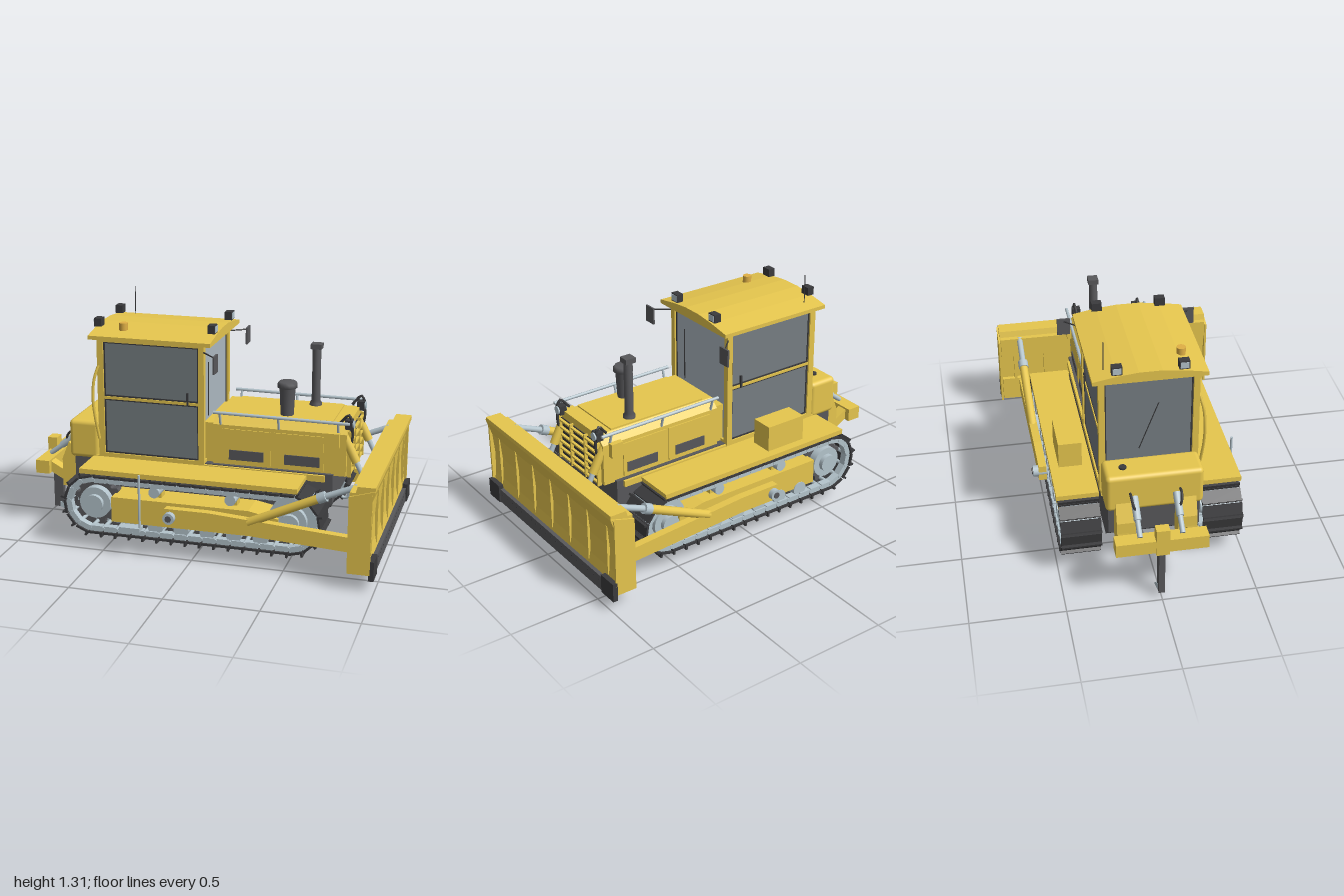
import * as THREE from 'three';
import { RoundedBoxGeometry } from 'three/addons/geometries/RoundedBoxGeometry.js';

const paint = (name, color) => {
  const m = new THREE.MeshStandardMaterial({ color });
  m.name = name;
  return m;
};

export function createModel() {
  const root = new THREE.Group();
  root.name = 'bulldozer';
  const yellow = paint('yellow paint', 0xe6c64e), dark = paint('dark metal', 0x58585b);
  const steel = paint('pale steel', 0xb4c4cc), glass = paint('tinted glass', 0x767e82);
  const paleGlass = paint('pale glass', 0xaebac2), amber = paint('amber', 0xe0b045);
  const black = paint('black metal', 0x3b3b3d);

  const add = (name, geo, mat, parent = root) => {
    const m = new THREE.Mesh(geo, mat);
    m.name = name;
    parent.add(m);
    return m;
  };
  // Box given by its limits on each axis
  const box = (name, mat, [x0, x1], [y0, y1], [z0, z1], parent = root) => {
    const m = add(name, new THREE.BoxGeometry(x1 - x0, y1 - y0, z1 - z0), mat, parent);
    m.position.set((x0 + x1) / 2, (y0 + y1) / 2, (z0 + z1) / 2);
    return m;
  };
  // Round bar between two points
  const bar = (name, mat, a, b, r, sides = 12, parent = root) => {
    const p = new THREE.Vector3(...a), q = new THREE.Vector3(...b), d = q.clone().sub(p);
    const m = add(name, new THREE.CylinderGeometry(r, r, d.length(), sides), mat, parent);
    m.position.copy(p).add(q).multiplyScalar(0.5);
    m.quaternion.setFromUnitVectors(new THREE.Vector3(0, 1, 0), d.normalize());
    return m;
  };
  // Side profile (x, y) extruded across z
  const slab = (name, mat, pts, z0, z1, parent = root) => {
    const shape = new THREE.Shape(pts.map(p => new THREE.Vector2(...p)));
    const g = new THREE.ExtrudeGeometry(shape, { depth: z1 - z0, bevelEnabled: false });
    return add(name, g.translate(0, 0, z0), mat, parent);
  };
  // Symmetric cross-section (z, y) extruded along x
  const loft = (name, mat, pts, x0, x1) => {
    const m = slab(name, mat, pts, x0, x1);
    m.geometry.rotateY(Math.PI / 2);
    return m;
  };
  const disc = (name, mat, x, y, z0, z1, r, sides = 24, parent = root) =>
    bar(name, mat, [x, y, z0], [x, y, z1], r, sides, parent);
  const tube = (name, mat, pts, r) => add(name, new THREE.TubeGeometry(
    new THREE.CatmullRomCurve3(pts.map(p => new THREE.Vector3(...p))), 16, r, 6), mat);

  // Hull and belly
  slab('hull', dark, [[-0.75, 0.43], [-0.75, 0.28], [-0.66, 0.2], [0.55, 0.2], [0.7, 0.3], [0.7, 0.46], [-0.6, 0.46]], -0.24, 0.24);
  box('crossBeam', dark, [0.12, 0.2], [0.17, 0.24], [-0.36, 0.36]);
  box('deck', yellow, [-0.62, 0.66], [0.42, 0.455], [-0.255, 0.255]);
  const hook = add('towHook', new THREE.TorusGeometry(0.024, 0.009, 8, 16, Math.PI * 1.5), steel);
  hook.position.set(0.725, 0.275, 0);
  hook.rotation.z = -Math.PI * 0.75;

  // Crawler tracks
  const R = 0.16, xa = -0.56, xb = 0.52, cy = 0.25, L = xb - xa, arc = Math.PI * R, total = 2 * (L + arc);
  const onTrack = s => {
    if (s < L) return [xa + s, cy, Math.PI / 2, R];
    if (s < L + arc) return [xb, cy, Math.PI / 2 - (s - L) / R, R];
    if (s < 2 * L + arc) return [xb - (s - L - arc), cy, -Math.PI / 2, R];
    return [xa, cy, -Math.PI / 2 - (s - 2 * L - arc) / R, R];
  };
  const gear = new THREE.Shape();
  for (let i = 0; i < 52; i++) {
    const a = i / 52 * Math.PI * 2, r = i % 4 < 2 ? 0.135 : 0.11;
    gear[i ? 'lineTo' : 'moveTo'](Math.cos(a) * r, Math.sin(a) * r);
  }
  for (const s of [1, -1]) {
    const t = new THREE.Group();
    t.name = s > 0 ? 'leftTrack' : 'rightTrack';
    root.add(t);
    t.position.z = s * 0.377;
    const n = 40;
    for (let i = 0; i < n; i++) {
      const [x, y, a, r] = onTrack((i + 0.5) * total / n);
      const link = new THREE.Group();
      link.name = 'trackLink';
      link.position.set(x + Math.cos(a) * r, y + Math.sin(a) * r, 0);
      link.rotation.z = a;
      t.add(link);
      box('shoe', black, [-0.006, 0.006], [-0.037, 0.037], [-0.107, 0.107], link);
      box('grouser', black, [0.005, 0.024], [0.024, 0.035], [-0.107, 0.107], link);
      for (const k of [-1, 1]) {
        box('chainLink', steel, [-0.036, -0.005], [-0.033, 0.033], [k * 0.075 - 0.02, k * 0.075 + 0.02], link);
      }
      disc('linkPin', steel, -0.022, 0.038, -0.098, 0.098, 0.011, 8, link);
    }
    const sprocket = add('sprocket', new THREE.ExtrudeGeometry(gear, { depth: 0.05, bevelEnabled: false }), dark, t);
    sprocket.position.set(xa, cy, -0.025);
    disc('idler', steel, xb, cy, -0.04, 0.04, 0.125, 28, t);
    for (const x of [xa, xb]) {
      disc('wheelRim', steel, x, cy, -0.07, 0.07, 0.088, 24, t);
      disc('wheelHub', steel, x, cy, -0.095, 0.095, 0.05, 20, t);
    }
    for (let i = 0; i < 6; i++) disc('roadRoller', steel, -0.36 + i * 0.145, 0.15, -0.085, 0.085, 0.042, 16, t);
    for (const x of [-0.22, 0.2]) {
      disc('carrierRoller', steel, x, 0.345, -0.085, 0.085, 0.03, 16, t);
      box('rollerBracket', yellow, [x - 0.025, x + 0.025], [0.28, 0.34], [-0.03, 0.03], t);
    }
    slab('trackFrame', yellow, [[-0.46, 0.16], [0.42, 0.16], [0.46, 0.2], [0.46, 0.27], [0.3, 0.3], [-0.46, 0.3]], -0.08, 0.09, t);
    // Fender
    box('fender', yellow, [-0.63, 0.565], [0.428, 0.455], [s * 0.38 - 0.112, s * 0.38 + 0.112]);

    // Push arm, brace and pivot
    slab('pushArm', yellow, [[-0.14, 0.2], [0.1, 0.2], [0.87, 0.155], [0.87, 0.235], [0.1, 0.29], [-0.14, 0.29]], s * 0.508 - 0.022, s * 0.508 + 0.022);
    disc('armPivot', steel, -0.11, 0.245, s * 0.48, s * 0.56, 0.032, 12);
    disc('pivotCap', dark, -0.11, 0.245, s * 0.55, s * 0.565, 0.018, 8);
    bar('armBrace', yellow, [0.31, 0.255, s * 0.51], [0.7, 0.435, s * 0.515], 0.024);
    bar('braceCollar', steel, [0.68, 0.426, s * 0.515], [0.72, 0.444, s * 0.515], 0.029);
    bar('braceRod', steel, [0.7, 0.435, s * 0.515], [0.88, 0.51, s * 0.515], 0.017);

    // Blade lift cylinder, hoses and headlamp
    bar('liftCylinder', yellow, [0.74, 0.68, s * 0.195], [0.815, 0.53, s * 0.195], 0.024);
    bar('liftRod', steel, [0.81, 0.54, s * 0.195], [0.88, 0.4, s * 0.195], 0.014);
    box('cylinderBracket', yellow, [0.66, 0.73], [0.61, 0.69], [s * 0.235 - 0.015, s * 0.235 + 0.015]);
    tube('hose', black, [[0.72, 0.73, s * 0.18], [0.77, 0.78, s * 0.19], [0.79, 0.68, s * 0.19], [0.77, 0.57, s * 0.19]], 0.008);
    box('headlampBody', black, [0.75, 0.79], [0.705, 0.755], [s * 0.18 - 0.024, s * 0.18 + 0.024]);
    bar('headlampLens', steel, [0.785, 0.73, s * 0.18], [0.798, 0.73, s * 0.18], 0.022);

    // Hood rail, vents and doors
    bar('hoodRail', steel, [0.045, 0.75, s * 0.235], [0.78, 0.745, s * 0.235], 0.009, 8);
    for (const x of [0.08, 0.4, 0.72]) bar('railPost', steel, [x, 0.68, s * 0.215], [x, 0.75, s * 0.235], 0.007, 6);
    for (const x of [0.13, 0.435]) {
      box('sideVent', dark, [x, x + 0.19], [0.49, 0.545], [s * 0.228 - 0.003, s * 0.228 + 0.003]);
    }
    for (const x of [0.09, 0.375]) box('hoodDoor', yellow, [x, x + 0.27], [0.47, 0.66], [s * 0.223 - 0.003, s * 0.223 + 0.003]);

    // Mirror
    bar('mirrorArm', black, [0, 1.08, s * 0.26], [0.085, 1.075, s * 0.34], 0.004, 6);
    box('mirror', dark, [0.08, 0.09], [0.995, 1.09], [s * 0.34 - 0.035, s * 0.34 + 0.035]);

    // Roof work lamps
    for (const [x, d] of [[-0.615, -1], [0.022, 1]]) {
      box('workLamp', black, [x - 0.02, x + 0.02], [1.167, 1.212], [s * 0.17 - 0.027, s * 0.17 + 0.027]);
      box('workLampLens', steel, [x + d * 0.021 - 0.002, x + d * 0.021 + 0.002], [1.173, 1.206], [s * 0.17 - 0.022, s * 0.17 + 0.022]);
    }
  }

  // Toolbox and boarding step
  box('toolbox', yellow, [-0.38, -0.14], [0.45, 0.6], [-0.445, -0.32]);
  bar('stepPost', steel, [-0.28, 0.15, 0.525], [-0.28, 0.46, 0.525], 0.007, 8);
  box('stepPlate', steel, [-0.39, -0.275], [0.145, 0.165], [0.485, 0.545]);

  // Engine hood, grille and stacks
  loft('hood', yellow, [[-0.22, 0.45], [0.22, 0.45], [0.22, 0.68], [0.17, 0.725], [-0.17, 0.725], [-0.22, 0.68]], 0.04, 0.765);
  box('hoodPanel', yellow, [0.1, 0.68], [0.72, 0.733], [-0.165, 0.165]);
  box('cowl', yellow, [-0.02, 0.045], [0.45, 0.68], [-0.2, 0.2]);
  box('grilleBack', black, [0.765, 0.77], [0.44, 0.68], [-0.185, 0.185]);
  for (let i = 0; i < 6; i++) box('grilleBar', yellow, [0.768, 0.785], [0.45 + i * 0.043, 0.46 + i * 0.043], [-0.19, 0.19]);
  for (const z of [-0.19, -0.07, 0.07, 0.19]) box('grillePost', yellow, [0.765, 0.788], [0.44, 0.69], [z - 0.005, z + 0.005]);
  const stack = (name, x, z, pts) => add(name, new THREE.LatheGeometry(pts.map(p => new THREE.Vector2(...p)), 16), dark).position.set(x, 0, z);
  stack('airCleaner', 0.42, 0.11, [[0.035, 0.72], [0.043, 0.88], [0.054, 0.885], [0.054, 0.905], [0.045, 0.917], [0, 0.917]]);
  stack('exhaust', 0.53, -0.11, [[0.034, 0.72], [0.034, 0.745], [0.024, 0.76], [0.024, 1.05], [0, 1.05]]);
  box('exhaustCap', dark, [0.5, 0.56], [1.05, 1.078], [-0.14, -0.083]);

  // Cab: glazed core with frame
  box('cabGlass', glass, [-0.582, -0.018], [0.46, 1.115], [-0.247, 0.247]);
  box('windscreen', paleGlass, [-0.019, -0.014], [0.46, 1.115], [-0.23, 0.23]);
  box('cabBase', yellow, [-0.6, 0.0], [0.44, 0.475], [-0.26, 0.26]);
  box('cabHeader', yellow, [-0.6, 0.0], [1.1, 1.125], [-0.26, 0.26]);
  for (const s of [1, -1]) {
    for (const [a, b] of [[-0.6, -0.565], [-0.032, 0.0]]) box('cabPost', yellow, [a, b], [0.45, 1.12], [s * 0.244 - 0.016, s * 0.244 + 0.016]);
    box('doorRail', yellow, [-0.565, -0.032], [0.782, 0.797], [s * 0.25 - 0.006, s * 0.25 + 0.006]);
    for (const y of [0.475, 0.774, 0.797, 1.092]) box('windowSeal', black, [-0.565, -0.032], [y, y + 0.008], [s * 0.248 - 0.003, s * 0.248 + 0.003]);
    for (const x of [-0.565, -0.04]) box('windowSeal', black, [x, x + 0.008], [0.475, 1.1], [s * 0.248 - 0.003, s * 0.248 + 0.003]);
    for (const x of [-0.584, -0.013]) box('screenSeal', black, [x - 0.003, x + 0.003], [0.475, 1.1], [s * 0.225 - 0.005, s * 0.225 + 0.005]);
    box('doorHandle', black, [-0.097, -0.087], [0.78, 0.85], [s * 0.256 - 0.006, s * 0.256 + 0.006]);
  }
  bar('wiper', black, [-0.008, 0.7, 0.145], [-0.008, 1.0, 0.145], 0.003, 6);
  bar('rearWiper', black, [-0.587, 0.68, -0.05], [-0.587, 0.95, 0.05], 0.003, 6);
  loft('roof', yellow, [[-0.295, 1.117], [0.295, 1.117], [0.295, 1.138], [0.17, 1.16], [0.06, 1.172], [-0.06, 1.172], [-0.17, 1.16], [-0.295, 1.138]], -0.635, 0.045);
  tube('grabRail', yellow, [[-0.59, 0.56, 0.275], [-0.61, 0.7, 0.287], [-0.618, 0.8, 0.287], [-0.61, 0.9, 0.28], [-0.59, 0.97, 0.262]], 0.008);
  bar('beacon', amber, [-0.47, 1.15, 0.185], [-0.47, 1.195, 0.185], 0.024, 16);
  bar('antenna', black, [-0.545, 1.14, -0.225], [-0.545, 1.31, -0.225], 0.0025, 6);

  // Rear tank
  const tank = add('rearTank', new RoundedBoxGeometry(0.175, 0.215, 0.51, 3, 0.025), yellow);
  tank.position.set(-0.69, 0.538, 0);
  bar('fillerCap', black, [-0.695, 0.64, -0.155], [-0.695, 0.655, -0.155], 0.02);

  // Blade with end plates, ribs and cutting edges
  slab('blade', yellow, [[0.885, 0.1], [0.975, 0.1], [0.955, 0.2], [0.95, 0.32], [0.96, 0.44], [0.99, 0.53], [0.99, 0.555], [0.9, 0.555], [0.885, 0.5]], -0.635, 0.635);
  for (const [y0, y1] of [[0.1, 0.24], [0.4, 0.52]]) box('bladeBackBeam', yellow, [0.86, 0.89], [y0, y1], [-0.63, 0.63]);
  for (const s of [1, -1]) {
    slab('bladeEnd', yellow, [[0.858, 0.09], [0.976, 0.09], [0.976, 0.52], [0.992, 0.54], [0.858, 0.5]], s * 0.638 - 0.006, s * 0.638 + 0.006);
    box('cornerBit', black, [0.968, 0.996], [0.06, 0.165], [s * 0.588 - 0.056, s * 0.588 + 0.056]);
  }
  for (let i = -3; i <= 3; i++) {
    box('bladeRib', yellow, [0.945, 0.966], [0.16, 0.45], [i * 0.183 - 0.004, i * 0.183 + 0.004]);
    box('bladeBackRib', yellow, [0.86, 0.89], [0.1, 0.52], [i * 0.183 - 0.008, i * 0.183 + 0.008]);
  }
  box('cuttingEdge', dark, [0.965, 0.988], [0.06, 0.142], [-0.54, 0.54]);
  for (let i = 0; i < 20; i++) {
    const z = -0.5 + i / 19;
    box('edgeBolt', black, [0.986, 0.99], [0.115, 0.121], [z - 0.003, z + 0.003]);
  }

  // Ripper
  box('ripperBeam', yellow, [-0.99, -0.91], [0.31, 0.385], [-0.24, 0.24]);
  box('shankHolder', yellow, [-1.0, -0.945], [0.3, 0.455], [-0.035, 0.035]);
  slab('ripperShank', dark, [[-0.98, 0.03], [-0.925, 0.03], [-0.925, 0.31], [-0.98, 0.31]], -0.016, 0.016);
  slab('ripperTip', steel, [[-0.945, 0.03], [-0.87, 0.0], [-0.88, 0.018], [-0.925, 0.06], [-0.945, 0.06]], -0.018, 0.018);
  for (const s of [1, -1]) {
    slab('ripperMount', yellow, [[-0.84, 0.24], [-0.77, 0.24], [-0.74, 0.3], [-0.74, 0.45], [-0.8, 0.5], [-0.84, 0.4]], s * 0.16 - 0.05, s * 0.16 + 0.05);
    slab('ripperLink', yellow, [[-0.92, 0.32], [-0.81, 0.26], [-0.81, 0.32], [-0.92, 0.38]], s * 0.18 - 0.03, s * 0.18 + 0.03);
    bar('ripperRod', steel, [-0.95, 0.39, s * 0.11], [-0.87, 0.45, s * 0.11], 0.014);
    bar('ripperCylinder', steel, [-0.88, 0.445, s * 0.11], [-0.78, 0.52, s * 0.11], 0.02);
    tube('ripperHose', black, [[-0.77, 0.54, s * 0.13], [-0.81, 0.54, s * 0.13], [-0.84, 0.51, s * 0.125], [-0.85, 0.47, s * 0.11]], 0.007);
  }
  return root;
}
